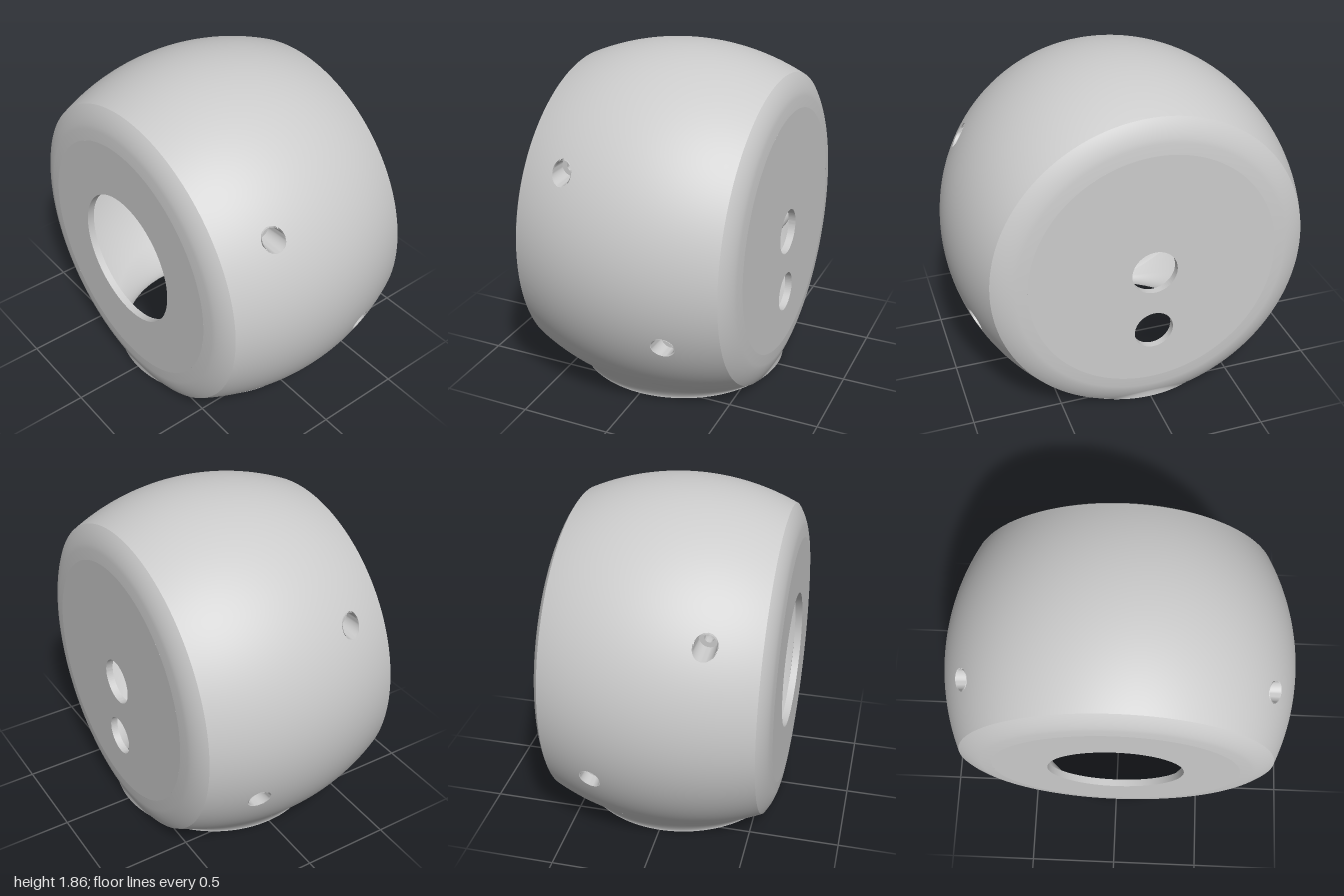
import * as THREE from 'three';
import { toCreasedNormals } from 'three/addons/utils/BufferGeometryUtils.js';
import { ParametricGeometry } from 'three/addons/geometries/ParametricGeometry.js';

const CY = 0.86;      // height of the drum axis, which runs along z
const WALL = 0.04;
const FLAT_Z = 0.63, FLAT_R = 0.69;
const SCREWS = [{ y: 1.36, z: 0.3 }, { y: 0.54, z: -0.29 }];
const material = new THREE.MeshStandardMaterial({ color: 0xcccccc, side: THREE.DoubleSide });

// Drum radius at z, for the surface lying t below the outside
function radiusAt(z, t) {
  const a = Math.abs(z);
  const barrel = -0.362 + Math.sqrt((1.362 - t) ** 2 - a * a);
  if (a <= 0.315) return barrel;
  const shoulder = FLAT_R + Math.sqrt(Math.max(0, (0.315 - t) ** 2 - (a - 0.315) ** 2));
  return Math.min(barrel, shoulder);
}

// Height of the drum's underside above a point on the ground
const underside = (x, z, t) => CY - Math.sqrt(radiusAt(z, t) ** 2 - x * x);

// Keeps the part of a geometry where keep(point) > 0, cutting triangles on the border
function trim(geometry, keep) {
  const src = geometry.index ? geometry.toNonIndexed() : geometry;
  const pos = src.attributes.position, nor = src.attributes.normal;
  const outP = [], outN = [];
  const cut = (a, b) => {
    let lo = 0, hi = 1;
    for (let i = 0; i < 14; i++) {
      const m = (lo + hi) / 2;
      if ((keep(a.p.clone().lerp(b.p, m)) > 0) === (a.f > 0)) lo = m; else hi = m;
    }
    return { p: a.p.clone().lerp(b.p, lo), n: a.n.clone().lerp(b.n, lo).normalize() };
  };
  for (let i = 0; i < pos.count; i += 3) {
    const tri = [0, 1, 2].map((k) => {
      const p = new THREE.Vector3().fromBufferAttribute(pos, i + k);
      return { p, n: new THREE.Vector3().fromBufferAttribute(nor, i + k), f: keep(p) };
    });
    const poly = [];
    tri.forEach((a, k) => {
      const b = tri[(k + 1) % 3];
      if (a.f > 0) poly.push(a);
      if ((a.f > 0) !== (b.f > 0)) poly.push(cut(a, b));
    });
    for (let k = 1; k + 1 < poly.length; k++) {
      for (const v of [poly[0], poly[k], poly[k + 1]]) {
        outP.push(v.p.x, v.p.y, v.p.z);
        outN.push(v.n.x, v.n.y, v.n.z);
      }
    }
  }
  const g = new THREE.BufferGeometry();
  g.setAttribute('position', new THREE.Float32BufferAttribute(outP, 3));
  g.setAttribute('normal', new THREE.Float32BufferAttribute(outN, 3));
  return g;
}

// Band of the drum between two z positions, opened for the foot and the screws
function drumBand(z0, z1, steps, t, foot) {
  const points = [];
  for (let i = 0; i <= steps; i++) {
    const z = z0 + (z1 - z0) * i / steps;
    points.push(new THREE.Vector2(radiusAt(z, t), z));
  }
  if (t > 0) points.reverse();   // inside surface faces inward
  const g = new THREE.LatheGeometry(points, 240).rotateX(Math.PI / 2).translate(0, CY, 0);
  return trim(g, (p) => {
    let f = p.y > 0.5 ? 1 : Math.hypot(p.x / foot.x, p.z / foot.z) - 0.998;
    for (const s of SCREWS) f = Math.min(f, Math.hypot(p.y - s.y, p.z - s.z) - 0.062);
    return f;
  });
}

// Flared wall from the round foot up to where it blends into the drum
function footFlare(rim, foot, t) {
  const turn = t > 0 ? 1 : -1;
  return new ParametricGeometry((u, v, out) => {
    const a = turn * u * Math.PI * 2, c = Math.cos(a), s = Math.sin(a);
    const x0 = rim * c, z0 = rim * s, x2 = foot.x * c, z2 = foot.z * s;
    const y2 = underside(x2, z2, t);
    const rise = (underside(x2 + (x2 - x0) * 0.01, z2 + (z2 - z0) * 0.01, t) - y2) * 100;
    const y1 = Math.max(0, y2 - rise);
    out.set(x0 + (x2 - x0) * v * v, 2 * v * (1 - v) * y1 + v * v * y2, z0 + (z2 - z0) * v * v);
  }, 160, 10);
}

// Flat end wall with round holes given as [y, radius]
function endWall(holes) {
  const shape = new THREE.Shape().absarc(0, 0, FLAT_R, 0, Math.PI * 2);
  for (const [y, r] of holes) {
    shape.holes.push(new THREE.Path().absarc(0, y - CY, r, 0, Math.PI * 2, true));
  }
  const g = new THREE.ExtrudeGeometry(shape, { depth: WALL, bevelEnabled: false, curveSegments: 96 });
  return toCreasedNormals(g, 0.6).translate(0, CY, 0);
}

// Screw post: counterbore from outside, small pocket at its inner end
function screwPost({ y, z }, side) {
  const surface = Math.sqrt(radiusAt(z, 0) ** 2 - (y - CY) ** 2);
  const profile = [
    [0, 0.05], [0.03, 0.05], [0.03, 0], [0.066, 0], [0.066, 0.3],
    [0.062, 0.3], [0.052, 0.1], [0.025, 0.1], [0.025, 0.075], [0, 0.065],
  ].map(([r, h]) => new THREE.Vector2(r, h));
  const g = toCreasedNormals(new THREE.LatheGeometry(profile, 40), 0.6)
    .translate(0, surface - 0.2, 0).rotateZ(-side * Math.PI / 2).translate(0, y, z);
  return trim(g, (p) => radiusAt(p.z, 0) - 0.001 - Math.hypot(p.x, p.y - CY));
}

export function createModel() {
  const model = new THREE.Group();
  const add = (name, geometry) => {
    const mesh = new THREE.Mesh(geometry, material);
    mesh.name = name;
    model.add(mesh);
    return mesh;
  };

  // Outer and inner skins of the drum, with their flared foot walls
  const skins = [
    { name: 'outer', t: 0, edge: 0.57, rim: 0.6, foot: { x: 0.73, z: 0.605 } },
    { name: 'inner', t: WALL, edge: 0.544, rim: 0.56, foot: { x: 0.69, z: 0.565 } },
  ];
  for (const { name, t, edge, rim, foot } of skins) {
    const end = FLAT_Z - t;
    add(name + 'Barrel', drumBand(-edge, edge, 40, t, foot));
    add(name + 'FrontShoulder', drumBand(edge, end, 10, t, foot));
    add(name + 'BackShoulder', drumBand(-end, -edge, 10, t, foot));
    add(name + 'FootFlare', footFlare(rim, foot, t));
  }

  // Underside rim of the foot
  add('footRim', new THREE.RingGeometry(0.56, 0.6, 160, 1).rotateX(Math.PI / 2));

  // End walls: one large opening in front, two small ones behind
  add('frontWall', endWall([[CY, 0.38]])).position.z = FLAT_Z - WALL;
  add('backWall', endWall([[CY, 0.127], [0.487, 0.11]])).position.z = -FLAT_Z;

  // Screw posts on both sides
  for (const side of [1, -1]) {
    for (const screw of SCREWS) add(side > 0 ? 'leftScrewPost' : 'rightScrewPost', screwPost(screw, side));
  }
  return model;
}
